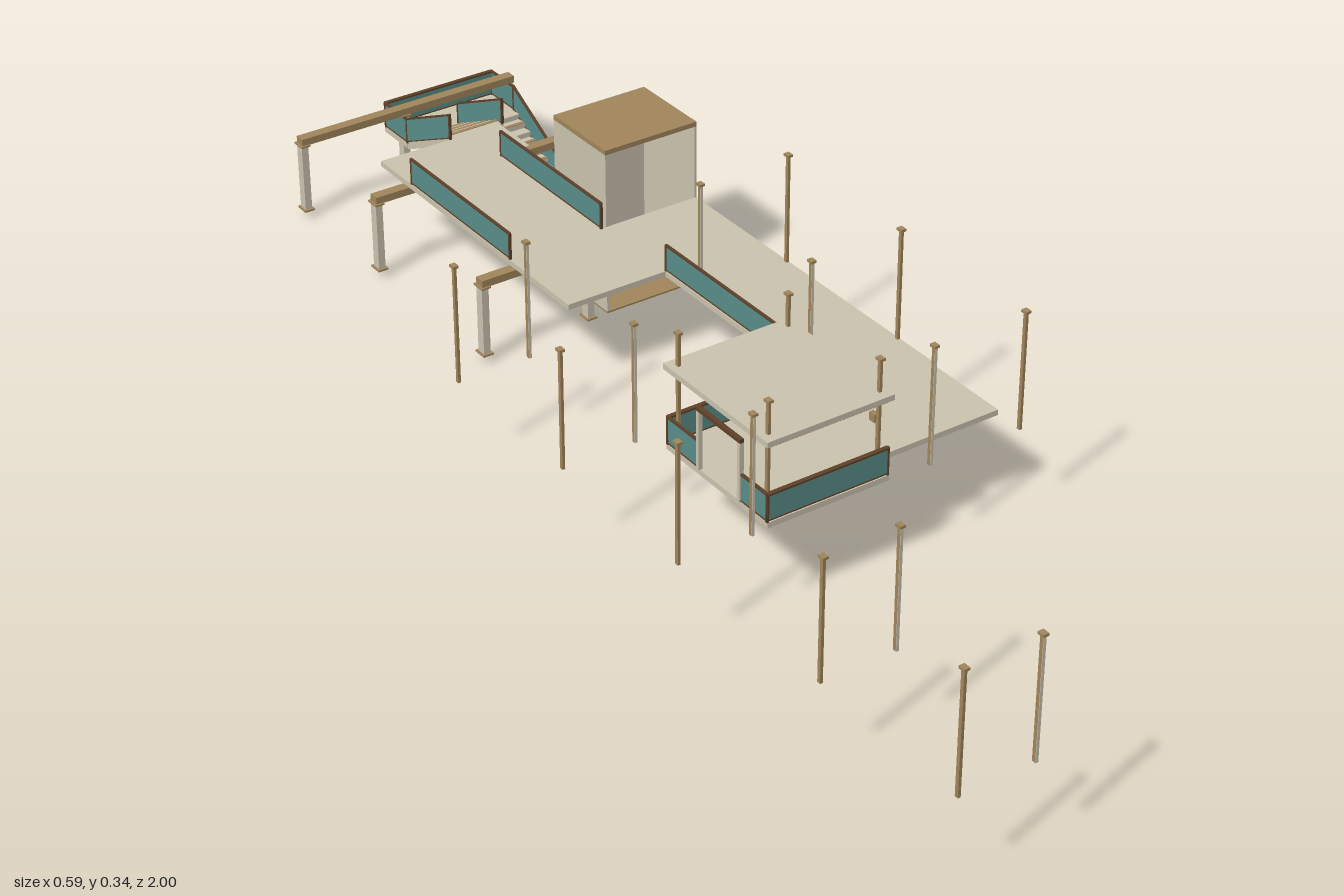
import * as THREE from 'three';

const mat = (name, color) => {
  const m = new THREE.MeshStandardMaterial({ color });
  m.name = name;
  return m;
};

export function createModel() {
  const concrete = mat('concrete', 0xcbc4af);
  const wood = mat('wood', 0xa1865b);
  const teal = mat('tealPanel', 0x588d89);
  const trim = mat('darkTrim', 0x5f412a);
  const ceilingRed = mat('ceilingRed', 0xa04c2e);
  const mauve = mat('lanternMauve', 0x8a5f68);

  const model = new THREE.Group();
  model.name = 'walkway';
  const group = (name) => {
    const g = new THREE.Group();
    g.name = name;
    model.add(g);
    return g;
  };
  // Box given by its limits on each axis
  const box = (parent, name, m, x0, x1, y0, y1, z0, z1) => {
    const mesh = new THREE.Mesh(new THREE.BoxGeometry(x1 - x0, y1 - y0, z1 - z0), m);
    mesh.position.set((x0 + x1) / 2, (y0 + y1) / 2, (z0 + z1) / 2);
    mesh.name = name;
    parent.add(mesh);
  };
  // Side profile in (z, y) extruded across x
  const profile = (parent, name, m, pts, x0, x1) => {
    const shape = new THREE.Shape(pts.map(([z, y]) => new THREE.Vector2(z, y)));
    const geo = new THREE.ExtrudeGeometry(shape, { depth: x1 - x0, bevelEnabled: false });
    geo.rotateY(-Math.PI / 2).translate(x1, 0, 0);
    const mesh = new THREE.Mesh(geo, m);
    mesh.name = name;
    parent.add(mesh);
  };

  const FLOOR = 0.155, UNDER = 0.146, T = 0.0022;

  // Railing along z; the floor may slope from ya to yb
  const railZ = (parent, x, za, zb, ya = FLOOR, yb = ya) => {
    const band = (name, m, lo, hi, t) => profile(parent, name, m,
      [[za, ya + lo], [zb, yb + lo], [zb, yb + hi], [za, ya + hi]], x - t, x + t);
    band('railPanel', teal, 0.004, 0.043, T * 0.6);
    band('handrail', trim, 0.043, 0.046, T);
    band('bottomRail', trim, 0.002, 0.004, T);
    for (const [z, y] of [[za, ya], [zb, yb]])
      box(parent, 'railPost', trim, x - T, x + T, y, y + 0.046, z - T * 0.7, z + T * 0.7);
  };
  // Railing along x
  const railX = (parent, z, xa, xb, y = FLOOR) => {
    box(parent, 'railPanel', teal, xa, xb, y + 0.004, y + 0.043, z - T * 0.6, z + T * 0.6);
    box(parent, 'handrail', trim, xa, xb, y + 0.043, y + 0.046, z - 0.0035, z + 0.0035);
    box(parent, 'bottomRail', trim, xa, xb, y + 0.002, y + 0.004, z - T, z + T);
    for (const x of [xa, xb])
      box(parent, 'railPost', trim, x - T * 0.7, x + T * 0.7, y, y + 0.046, z - T, z + T);
  };

  // Decks
  const decks = group('decks');
  [
    [-0.052, 0.172, -0.785, -0.695],
    [-0.052, 0.118, -0.695, -0.4],
    [-0.052, 0.294, -0.4, -0.235],
    [0.123, 0.294, -0.235, 0.2],
    [0.06, 0.289, 0.2, 0.355],
    [-0.146, 0.06, 0.16, 0.4],
  ].forEach(([x0, x1, z0, z1]) => box(decks, 'deck', concrete, x0, x1, UNDER, FLOOR, z0, z1));

  const rails = group('walkwayRailings');
  railZ(rails, -0.05, -0.69, -0.4);
  railZ(rails, 0.116, -0.69, -0.4);
  railZ(rails, 0.125, -0.235, 0.198);

  // Supporting frames: beam, two legs and foot plates
  for (const z of [-0.945, -0.707, -0.39]) {
    const frame = group('supportFrame');
    box(frame, 'beam', wood, -0.112, 0.294, 0.133, UNDER - 0.0005, z - 0.009, z + 0.009);
    for (const x of [-0.107, 0.083]) {
      box(frame, 'leg', concrete, x - 0.006, x + 0.006, 0.016, 0.133, z - 0.008, z + 0.008);
      box(frame, 'footPlate', wood, x - 0.009, x + 0.009, 0.013, 0.016, z - 0.012, z + 0.012);
      box(frame, 'legCap', wood, x - 0.008, x + 0.008, 0.131, 0.134, z - 0.012, z + 0.012);
    }
  }

  // Lift shaft, open at the front
  const lift = group('liftShaft');
  const [lx0, lx1, lz0, lz1, w] = [0.125, 0.295, -0.545, -0.4, 0.004];
  box(lift, 'shaftFloor', wood, lx0, lx1, 0, 0.003, lz0, lz1);
  box(lift, 'shaftRoof', wood, lx0, lx1, 0.28, 0.288, lz0, lz1);
  box(lift, 'backWall', concrete, lx0, lx1, 0.003, 0.28, lz0, lz0 + w);
  box(lift, 'sideWall', concrete, lx0, lx0 + w, 0.003, 0.28, lz0 + w, lz1);
  box(lift, 'sideWall', concrete, lx1 - w, lx1, 0.003, 0.28, lz0 + w, lz1);
  box(lift, 'screenPanel', concrete, 0.275, 0.279, 0.014, 0.092, -0.365, -0.29);

  // Stair: two flights joined by a landing, with wooden nosings
  const stair = group('stair');
  const LAND = 0.088, zTop = -0.785, zLand = -0.925, N = 8;
  const flight = (x0, x1, yFront) => {
    const pts = [];
    const dz = (zTop - zLand) / N, dy = (yFront - LAND) / N;
    for (let i = 0; i < N; i++) {
      const y = LAND + dy * (i + (dy > 0 ? 1 : 0));
      const z = zLand + dz * i;
      pts.push([z, y], [z + dz, y]);
      const edge = dy > 0 ? z + 0.003 : z + dz - 0.003;
      if (i % 2) box(stair, 'nosing', wood, x0, x1, y, y + 0.001, edge - 0.003, edge + 0.003);
    }
    pts.push([zTop, yFront - 0.012], [zLand, LAND - 0.012]);
    profile(stair, 'flight', concrete, pts.reverse(), x0, x1);
  };
  flight(0.078, 0.179, FLOOR);
  flight(0.181, 0.286, 0.016);
  box(stair, 'landing', concrete, 0.077, 0.287, LAND - 0.01, LAND, -0.998, zLand);
  for (const [x, yEnd] of [[0.078, FLOOR], [0.177, FLOOR], [0.183, 0.012], [0.286, 0.012]])
    railZ(stair, x, zLand, zTop, LAND, yEnd);
  railZ(stair, 0.078, -0.995, zLand, LAND);
  railZ(stair, 0.286, -0.995, zLand, LAND);
  railX(stair, -0.995, 0.078, 0.286, LAND);

  // Slim pole with a small cap; some have a pale front strip
  const pole = (parent, name, x, z, pale = false) => {
    box(parent, name, wood, x - 0.0022, x + 0.0022, UNDER, 0.336, z - 0.003, z + 0.003);
    box(parent, 'poleCap', wood, x - 0.0045, x + 0.0045, 0.336, 0.34, z - 0.0055, z + 0.0055);
    if (pale) box(parent, 'poleStrip', concrete, x - 0.0022, x + 0.0022, UNDER, 0.336, z + 0.003, z + 0.0038);
  };
  const poles = group('poles');
  for (const z of [-0.155, 0.12, 0.4, 0.715, 0.992]) {
    pole(poles, 'pole', -0.292, z);
    pole(poles, 'pole', -0.172, z, true);
    if (z < 0.5) {
      pole(poles, 'pole', 0.131, z, true);
      pole(poles, 'pole', 0.291, z);
    }
  }

  // Pavilion
  const pav = group('pavilion');
  box(pav, 'roof', concrete, -0.15, 0.063, 0.277, 0.286, 0.158, 0.403);
  box(pav, 'ceiling', ceilingRed, -0.145, 0.057, 0.272, 0.2745, 0.165, 0.397);
  for (const z of [0.175, 0.385]) {
    for (const x of [-0.136, 0.05]) pole(pav, 'roofPost', x, z);
  }
  for (const z of [0.195, 0.37]) {
    box(pav, 'lantern', wood, 0.05, 0.056, 0.23, 0.243, z - 0.006, z + 0.006);
    box(pav, 'lanternFace', mauve, 0.056, 0.057, 0.23, 0.243, z - 0.006, z + 0.006);
  }
  railX(pav, 0.398, -0.145, 0.058);
  railX(pav, 0.163, -0.145, 0.058);
  railZ(pav, -0.145, 0.163, 0.24);
  railZ(pav, -0.145, 0.335, 0.398);
  // Gateway frame on the outer side
  for (const z of [0.239, 0.336])
    box(pav, 'gatePost', concrete, -0.149, -0.142, FLOOR, 0.25, z - 0.003, z + 0.003);
  box(pav, 'gateLintel', trim, -0.149, -0.142, 0.25, 0.256, 0.236, 0.339);
  box(pav, 'cabinet', wood, 0.028, 0.057, FLOOR, 0.185, 0.17, 0.205);

  return model;
}
